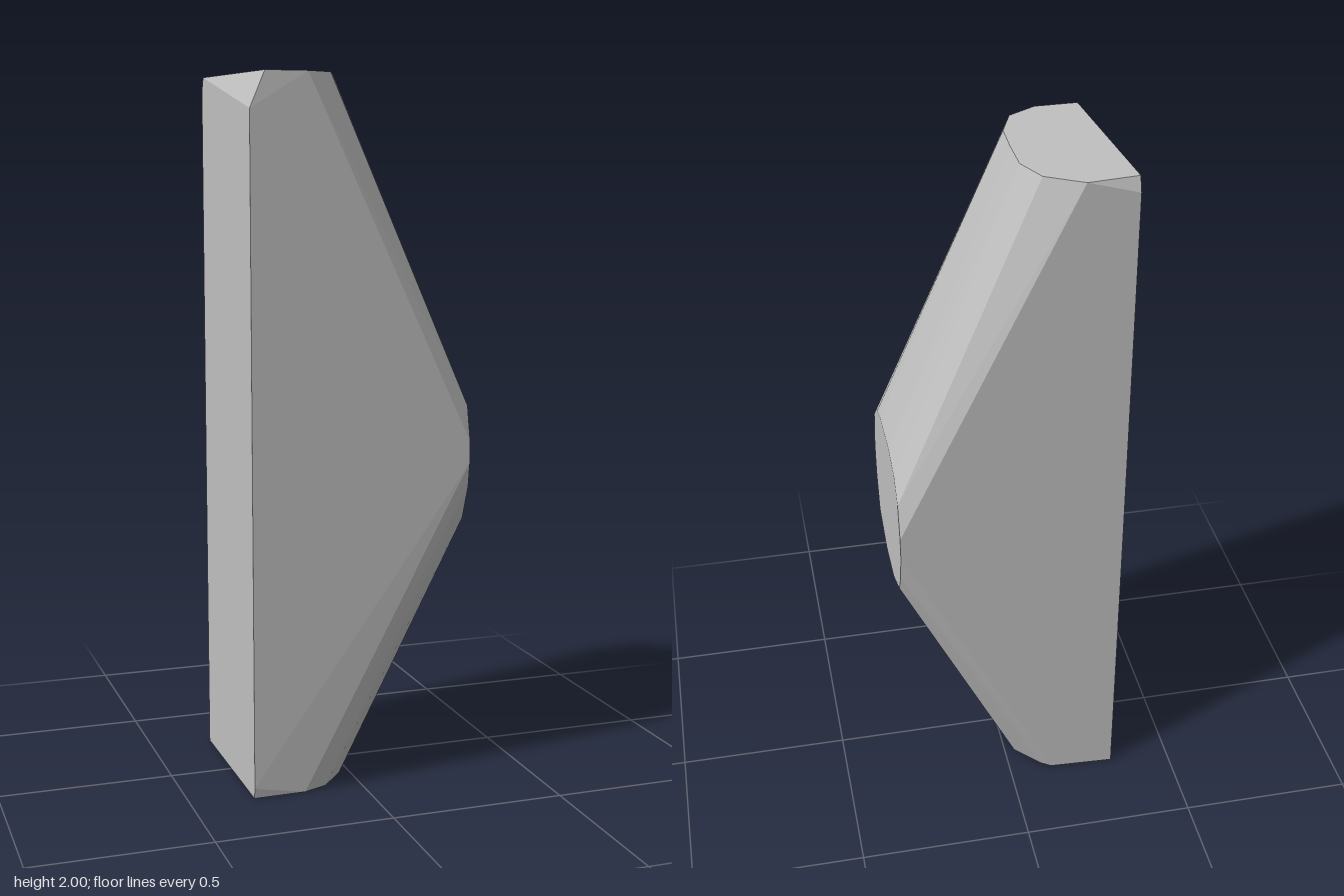
import * as THREE from 'three';
import { ConvexGeometry } from 'three/addons/geometries/ConvexGeometry.js';

export function createModel() {
  const group = new THREE.Group();
  const grey = new THREE.MeshStandardMaterial({ color: 0xc0c0c0 });
  grey.name = 'plain grey';

  // Top facet, as x, z at y = 2
  const top = [
    [-0.32, -0.235], [-0.18, -0.25], [-0.08, -0.193], [-0.04, -0.108], [-0.038, 0],
    [-0.04, 0.1], [-0.076, 0.193], [-0.155, 0.24], [-0.275, 0.242],
  ];
  // Bottom facet, as x, z at y = 0
  const bottom = [
    [-0.32, -0.253], [-0.13, -0.243], [-0.1, -0.225], [-0.03, -0.15], [-0.012, -0.07],
    [-0.012, 0.05], [-0.03, 0.13], [-0.1, 0.215], [-0.17, 0.243], [-0.32, 0.245],
  ];
  // Rounded end facet, as z, y at x = 0.32
  const end = [
    [0.08, 1.16], [-0.08, 1.16], [-0.175, 1.13], [-0.228, 1.07], [-0.252, 0.97], [-0.252, 0.91],
    [-0.23, 0.82], [-0.19, 0.75], [-0.07, 0.7], [0.07, 0.7], [0.2, 0.75], [0.24, 0.85],
    [0.25, 0.92], [0.25, 0.98], [0.228, 1.08], [0.15, 1.14],
  ];
  // Upright edges of the flat back, with the chipped upper corner
  const back = [
    [-0.32, 1.9, 0.25], [-0.32, 0.03, 0.25], [-0.32, 1.96, -0.25], [-0.32, 0.9, -0.254],
  ];

  // Faceted wedge enclosing all the outlines
  const points = [
    ...top.map(([x, z]) => new THREE.Vector3(x, 2, z)),
    ...bottom.map(([x, z]) => new THREE.Vector3(x, 0, z)),
    ...end.map(([z, y]) => new THREE.Vector3(0.32, y, z)),
    ...back.map((p) => new THREE.Vector3(...p)),
  ];
  const wedge = new THREE.Mesh(new ConvexGeometry(points), grey);
  wedge.name = 'wedge';
  group.add(wedge);
  return group;
}
